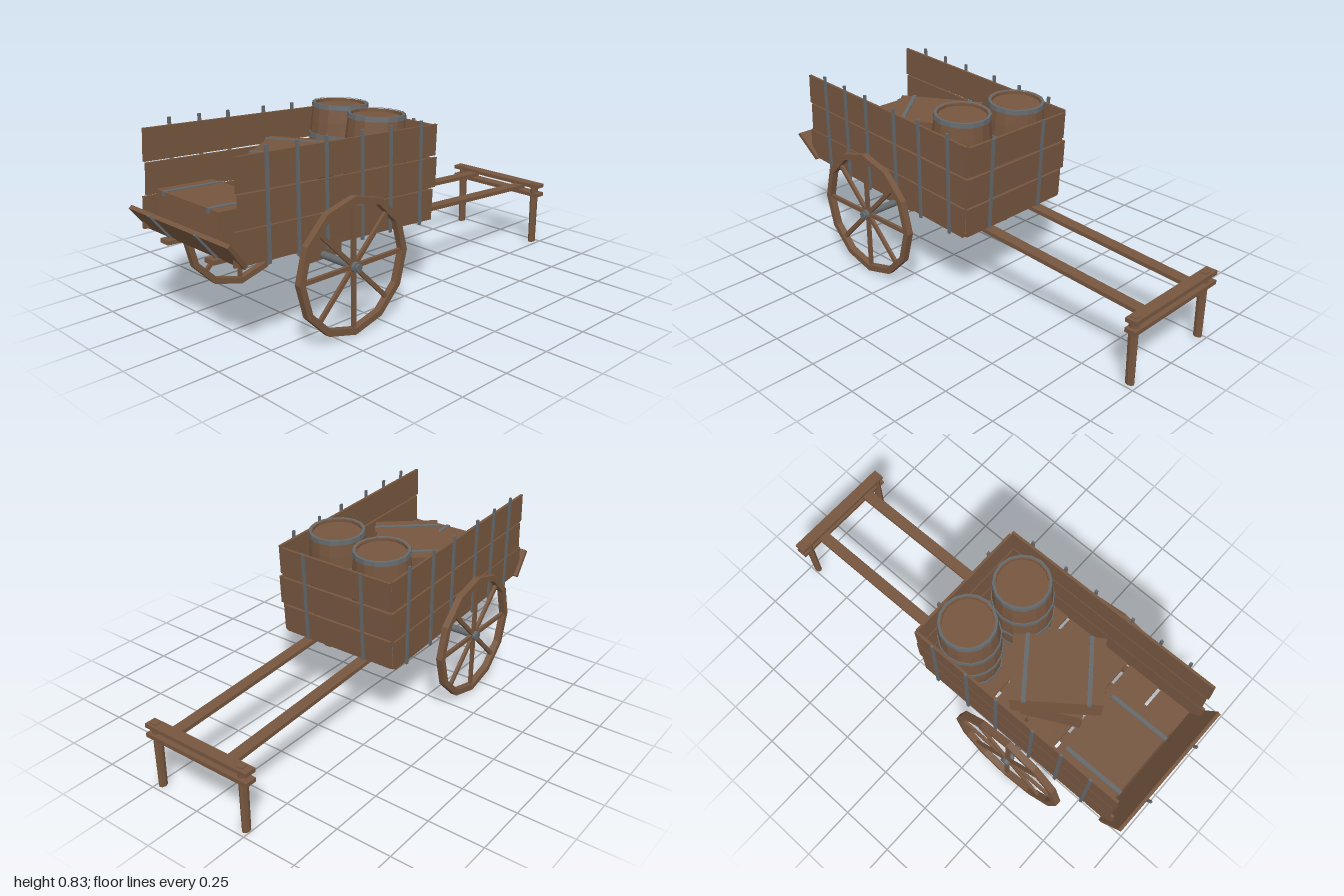
import * as THREE from 'three';

const wood = new THREE.MeshStandardMaterial({ color: 0x76563f, flatShading: true });
wood.name = 'wood';
const iron = new THREE.MeshStandardMaterial({ color: 0x64696c, flatShading: true });
iron.name = 'iron';

const TILT = 0.057; // slope of the bed and shafts
const MID = -0.014; // centre line of the bed

function add(parent, name, geometry, material, x = 0, y = 0, z = 0) {
  const mesh = new THREE.Mesh(geometry, material);
  mesh.name = name;
  mesh.position.set(x, y, z);
  parent.add(mesh);
  return mesh;
}

function box(parent, name, material, w, h, d, x, y, z) {
  return add(parent, name, new THREE.BoxGeometry(w, h, d), material, x, y, z);
}

function group(parent, name, x = 0, y = 0, z = 0) {
  const g = new THREE.Group();
  g.name = name;
  g.position.set(x, y, z);
  parent.add(g);
  return g;
}

function polygon(target, radius, sides) {
  const pts = [];
  for (let i = 0; i < sides; i++) {
    const a = (i / sides) * Math.PI * 2;
    pts.push(new THREE.Vector2(Math.cos(a) * radius, Math.sin(a) * radius));
  }
  return target.setFromPoints(pts);
}

// Spoked wheel, built facing z and turned onto the axle
function wheel(parent, name, x) {
  const g = group(parent, name, x, 0.292, 0.42);
  g.rotation.y = Math.PI / 2;
  const shape = polygon(new THREE.Shape(), 0.29, 12);
  shape.holes.push(polygon(new THREE.Path(), 0.262, 12));
  add(g, 'rim', new THREE.ExtrudeGeometry(shape, { depth: 0.03, bevelEnabled: false }), wood, 0, 0, -0.015);
  for (let i = 0; i < 8; i++) {
    const a = (i / 8) * Math.PI * 2;
    const spoke = box(g, 'spoke', wood, 0.25, 0.018, 0.014, Math.cos(a) * 0.14, Math.sin(a) * 0.14, 0);
    spoke.rotation.z = a;
  }
  const hub = add(g, 'hub', new THREE.CylinderGeometry(0.022, 0.022, 0.045, 10), iron);
  hub.rotation.x = Math.PI / 2;
}

// Bulging barrel with a sunken lid and four iron bands
function barrel(parent, x, z) {
  const H = 0.44;
  const radius = (y) => 0.119 + 0.014 * (1 - (2 * y / H - 1) ** 2);
  const g = group(parent, 'barrel', x, 0.027, z);
  const profile = [new THREE.Vector2(0, 0)];
  for (let i = 0; i <= 6; i++) profile.push(new THREE.Vector2(radius(H * i / 6), H * i / 6));
  profile.push(new THREE.Vector2(0.108, H), new THREE.Vector2(0.108, H - 0.012), new THREE.Vector2(0, H - 0.012));
  add(g, 'staves', new THREE.LatheGeometry(profile, 16), wood);
  for (const y of [0.02, 0.16, 0.3, 0.433]) {
    const r0 = radius(y - 0.01), r1 = radius(y + 0.01);
    const ring = [[r0, y - 0.01], [r0 + 0.005, y - 0.01], [r1 + 0.005, y + 0.01], [r1 - 0.006, y + 0.01]];
    add(g, 'band', new THREE.LatheGeometry(ring.map((p) => new THREE.Vector2(...p)), 16), iron);
  }
}

// Crate with a lid and two iron straps folded over its edges
function crate(parent, w, d, x, y, z, yaw) {
  const h = 0.15;
  const g = group(parent, 'crate', x, y, z);
  g.rotation.y = yaw;
  box(g, 'crateBody', wood, w - 0.008, h - 0.025, d - 0.008, 0, (h - 0.025) / 2, 0);
  box(g, 'crateLid', wood, w, 0.025, d, 0, h - 0.0125, 0);
  for (const s of [-1, 1]) {
    const sx = s * (w / 2 - 0.06);
    box(g, 'strap', iron, 0.018, 0.004, d + 0.01, sx, h + 0.002, 0);
    for (const e of [-1, 1]) box(g, 'strapEnd', iron, 0.018, 0.018, 0.006, sx, h - 0.007, e * (d / 2 + 0.002));
  }
}

export function createModel() {
  const cart = new THREE.Group();
  cart.name = 'handCart';

  const bed = group(cart, 'bed', 0, 0.338, 0);
  bed.rotation.x = -TILT;

  // Long shafts and cross planks of the floor
  for (const x of [-0.154, 0.142]) box(bed, 'shaft', wood, 0.052, 0.018, 1.91, x, 0, -0.01);
  for (let i = 0; i < 6; i++) {
    const wide = [0, 0.015, -0.01, 0.02, 0, -0.008][i];
    box(bed, 'floorPlank', wood, 0.59 + wide, 0.016, 0.155, MID, 0.018, -0.045 + i * 0.171);
  }

  // Three planks on each wall, each very slightly askew
  const rows = [[0.01, 0.145, 0.01], [0.151, 0.282, -0.004], [0.29, 0.425, 0.006]];
  rows.forEach(([lo, hi, shift], i) => {
    const h = hi - lo, y = (lo + hi) / 2;
    for (const s of [-1, 1]) {
      const plank = box(bed, 'sidePlank', wood, 0.012, h, 1.055, MID + s * 0.298, y, 0.4 + shift);
      plank.rotation.x = (i - 1) * 0.004;
    }
    const back = box(bed, 'backPlank', wood, 0.575, h - 0.005, 0.012, MID, y - 0.003, -0.122);
    back.rotation.z = (i - 1) * 0.006;
  });

  // Iron stakes outside the walls
  for (const s of [-1, 1]) {
    for (const z of [0.78, 0.635, 0.49, 0.3, 0.14, -0.04]) {
      const stake = box(bed, 'sideStake', iron, 0.009, 0.455, 0.013, MID + s * 0.308, 0.226, z + 0.013);
      stake.rotation.x = TILT;
    }
  }
  for (const x of [-0.16, 0.145]) box(bed, 'backStake', iron, 0.013, 0.43, 0.009, x, 0.212, -0.133);

  // Load
  barrel(bed, -0.154, 0.026);
  barrel(bed, 0.122, 0.076);
  crate(bed, 0.415, 0.275, -0.077, 0.027, 0.757, 0);
  crate(bed, 0.37, 0.27, 0.015, 0.027, 0.38, 0.47);
  crate(bed, 0.385, 0.29, -0.03, 0.182, 0.4, -0.92);

  // Lowered tailgate with its two straps
  const gate = group(cart, 'tailgate', 0, 0.402, 0.884);
  gate.rotation.x = 0.685;
  const board = new THREE.Shape([[-0.335, 0], [0.3, 0], [0.325, 0.145], [-0.33, 0.138]].map((p) => new THREE.Vector2(...p)));
  add(gate, 'gateBoard', new THREE.ExtrudeGeometry(board, { depth: 0.018, bevelEnabled: false }), wood);
  for (const x of [-0.158, 0.145]) box(gate, 'gateStake', iron, 0.012, 0.16, 0.009, x, 0.08, 0.022);

  // Axle, its blocks and the wheels
  const axle = add(cart, 'axle', new THREE.CylinderGeometry(0.016, 0.016, 0.8, 12), iron, 0, 0.292, 0.42);
  axle.rotation.z = Math.PI / 2;
  for (const x of [-0.192, 0.18]) box(cart, 'axleBlock', wood, 0.018, 0.1, 0.21, x, 0.323, 0.425);
  wheel(cart, 'rightWheel', -0.377);
  wheel(cart, 'leftWheel', 0.366);

  // Handle bars clamped round the shafts, standing on two legs
  for (const y of [0.254, 0.298]) box(cart, 'handleBar', wood, 0.535, 0.018, 0.052, -0.0125, y, -0.972);
  for (const x of [-0.234, 0.224]) {
    const leg = add(cart, 'leg', new THREE.CylinderGeometry(0.017, 0.015, 0.29, 8), wood, x, 0.15, -0.966);
    leg.scale.z = 1.35;
    box(cart, 'legPeg', wood, 0.03, 0.03, 0.03, x, 0.296, -0.97);
  }
  return cart;
}
